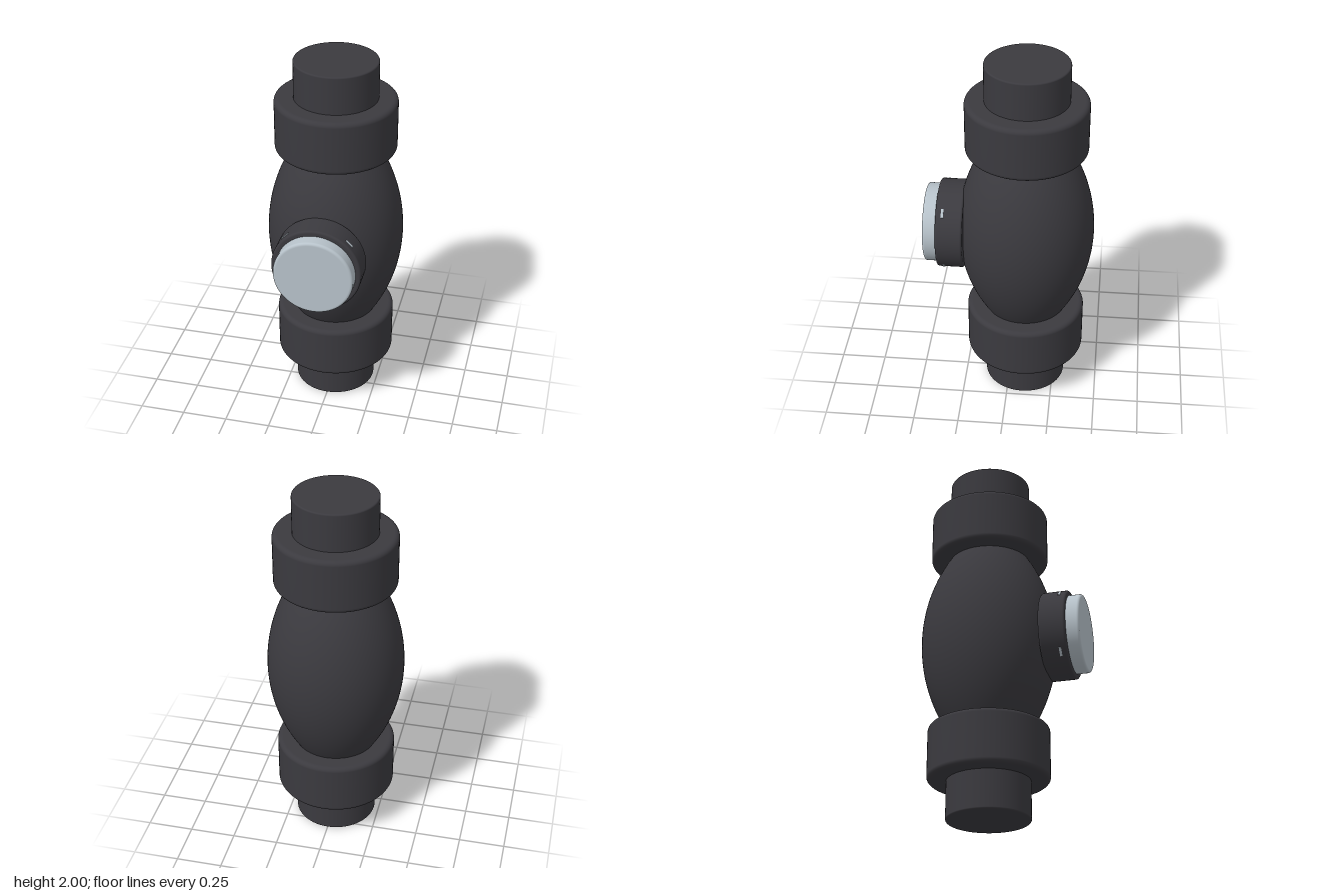
import * as THREE from 'three';

const AXIS_Z = -0.087;

// Solid of revolution from y0 to y1 with rounded rims
function roundedDisc(radius, y0, y1, bevel) {
  const pts = [new THREE.Vector2(0, y0), new THREE.Vector2(radius - bevel - 0.002, y0)];
  const arc = (cy, from) => {
    for (let i = 0; i <= 6; i++) {
      const a = from + (i / 6) * Math.PI / 2;
      pts.push(new THREE.Vector2(radius - bevel + Math.cos(a) * bevel, cy + Math.sin(a) * bevel));
    }
  };
  arc(y0 + bevel, -Math.PI / 2);
  arc(y1 - bevel, 0);
  pts.push(new THREE.Vector2(radius - bevel - 0.002, y1), new THREE.Vector2(0, y1));
  return new THREE.LatheGeometry(pts, 72);
}

export function createModel() {
  const model = new THREE.Group();
  const dark = new THREE.MeshStandardMaterial({ color: 0x3b3a3f });
  dark.name = 'charcoal';
  const silver = new THREE.MeshStandardMaterial({ color: 0xb8c3cb });
  silver.name = 'pale silver';

  const add = (name, geometry, material, parent = model) => {
    const mesh = new THREE.Mesh(geometry, material);
    mesh.name = name;
    parent.add(mesh);
    return mesh;
  };

  // Barrel-shaped body: circular arc bulging to 0.37 at mid height
  const R = 0.93;
  const profile = [];
  for (let i = 0; i <= 32; i++) {
    const dy = -0.52 + (1.04 * i) / 32;
    profile.push(new THREE.Vector2(0.37 - R + Math.sqrt(R * R - dy * dy), 1 + dy));
  }
  add('body', new THREE.LatheGeometry(profile, 80), dark).position.z = AXIS_Z;

  // Collar and end stub, mirrored top and bottom
  for (const [side, collarY, stubY] of [['lower', [0.21, 0.507], [0, 0.25]], ['upper', [1.497, 1.793], [1.75, 2]]]) {
    add(side + 'Collar', roundedDisc(0.326, ...collarY, 0.025), dark).position.z = AXIS_Z;
    add(side + 'Stub', roundedDisc(0.224, ...stubY, 0.008), dark).position.z = AXIS_Z;
  }

  // Front button assembly, built along y and turned to face +z
  const button = new THREE.Group();
  button.name = 'frontButton';
  button.position.y = 1.005;
  button.rotation.x = Math.PI / 2;
  model.add(button);
  add('buttonHousing', roundedDisc(0.242, 0.24, 0.385, 0.012), dark, button);
  add('buttonCap', roundedDisc(0.214, 0.37, 0.457, 0.014), silver, button);

  // Four small marks around the housing rim
  for (let i = 0; i < 4; i++) {
    const a = Math.PI / 4 + (i * Math.PI) / 2;
    const mark = add('rimMark', new THREE.BoxGeometry(0.05, 0.013, 0.008), silver, button);
    mark.position.set(Math.sin(a) * 0.24, 0.348, Math.cos(a) * 0.24);
    mark.rotation.y = a;
  }
  return model;
}
